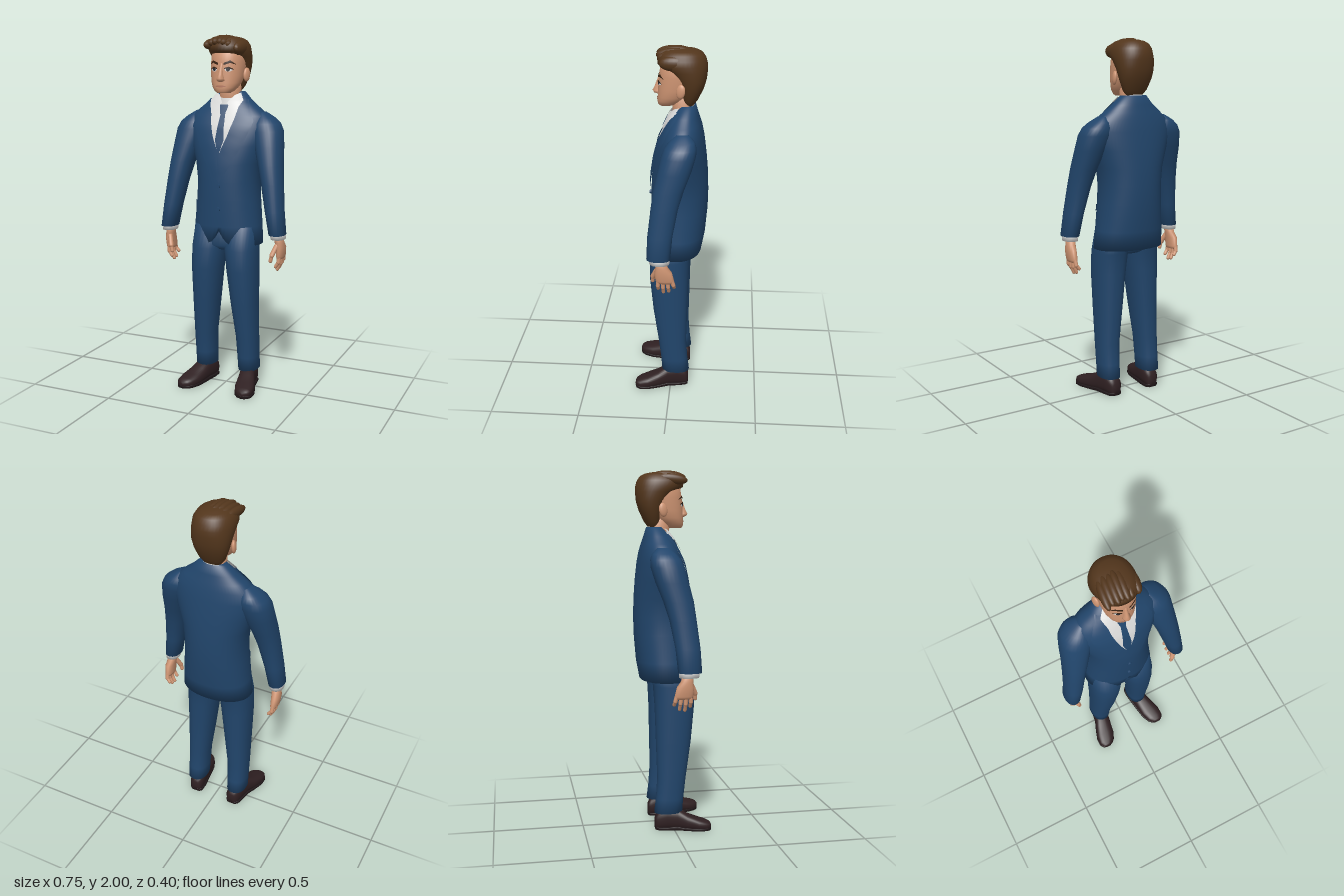
import * as THREE from 'three';

const mat = (name, color) => {
  const m = new THREE.MeshStandardMaterial({ color, side: THREE.DoubleSide });
  m.name = name;
  return m;
};

// Section ring row: [y, centreX, halfWidth, frontZ, backZ]
function rowAt(rows, y) {
  let i = 0;
  while (i < rows.length - 2 && y > rows[i + 1][0]) i++;
  const a = rows[i], b = rows[i + 1];
  const t = THREE.MathUtils.clamp((y - a[0]) / (b[0] - a[0]), 0, 1);
  return a.map((v, k) => v + (b[k] - v) * t);
}

// Smooth body through superellipse rings, listed from bottom to top
function loft(rows, { n = 32, e = 2.2, side = 1, open = false, warp } = {}) {
  const pos = [], idx = [];
  const pw = (v) => Math.sign(v) * Math.abs(v) ** (2 / e);
  for (const [y, cx, rx, zf, zb] of rows) {
    for (let j = 0; j < n; j++) {
      const a = (j / n) * Math.PI * 2;
      const p = new THREE.Vector3(side * cx + rx * pw(Math.cos(a)), y, (zf + zb) / 2 + ((zf - zb) / 2) * pw(Math.sin(a)));
      if (warp) warp(p);
      pos.push(p.x, p.y, p.z);
    }
  }
  for (let i = 0; i < rows.length - 1; i++) {
    for (let j = 0; j < n; j++) {
      const a = i * n + j, b = i * n + ((j + 1) % n);
      idx.push(a, a + n, b, b, a + n, b + n);
    }
  }
  if (!open) {
    [0, rows.length - 1].forEach((r, k) => {
      const [y, cx, , zf, zb] = rows[r], c = pos.length / 3;
      pos.push(side * cx, y, (zf + zb) / 2);
      for (let j = 0; j < n; j++) {
        const a = r * n + j, b = r * n + ((j + 1) % n);
        idx.push(...(k ? [c, b, a] : [c, a, b]));
      }
    });
  }
  return build(pos, idx);
}

function build(pos, idx) {
  const g = new THREE.BufferGeometry();
  g.setAttribute('position', new THREE.Float32BufferAttribute(pos, 3));
  g.setIndex(idx);
  g.computeVertexNormals();
  return g;
}

// Thin plate between two edge lines, laid on the front of a lofted body
function plate(rows, left, right, off, side = 1, e = 2.2) {
  const pos = [], idx = [], U = 16, V = 8;
  const along = (pts, u) => {
    const f = u * (pts.length - 1), i = Math.min(Math.floor(f), pts.length - 2), t = f - i;
    return [0, 1].map((k) => pts[i][k] + (pts[i + 1][k] - pts[i][k]) * t);
  };
  for (let i = 0; i <= U; i++) {
    const a = along(left, i / U), b = along(right, i / U);
    for (let j = 0; j <= V; j++) {
      const x = a[0] + ((b[0] - a[0]) * j) / V, y = a[1] + ((b[1] - a[1]) * j) / V;
      const [, , rx, zf, zb] = rowAt(rows, y), t = Math.min(Math.abs(x) / rx, 0.97);
      pos.push(side * x, y, (zf + zb) / 2 + ((zf - zb) / 2) * (1 - t ** e) ** (1 / e) + off);
      if (i < U && j < V) {
        const p = i * (V + 1) + j, q = p + V + 1;
        idx.push(...(side > 0 ? [p, q, p + 1, p + 1, q, q + 1] : [p, p + 1, q, p + 1, q + 1, q]));
      }
    }
  }
  return build(pos, idx);
}

// Edge lines of an oval, for eyes and irises
const oval = (x, y, rx, ry) => [-1, 1].map((s) => Array.from({ length: 9 }, (_, i) => {
  const a = (i / 8) * Math.PI;
  return [x + s * rx * Math.sin(a), y + ry * Math.cos(a)];
}));

const TORSO = [
  [0.845, 0, 0.205, 0.11, -0.165], [0.95, 0, 0.195, 0.115, -0.185], [1.1, 0, 0.181, 0.117, -0.198],
  [1.2, 0, 0.178, 0.115, -0.2], [1.3, 0, 0.19, 0.11, -0.197], [1.4, 0, 0.222, 0.095, -0.188],
  [1.5, 0, 0.245, 0.07, -0.175], [1.56, 0, 0.222, 0.042, -0.163], [1.6, 0, 0.175, 0.022, -0.152],
  [1.64, 0, 0.125, 0, -0.14], [1.69, 0, 0.077, -0.04, -0.126]];
const ARM = [
  [0.925, 0.33, 0.045, 0.117, -0.012], [1.05, 0.31, 0.051, 0.112, -0.022], [1.2, 0.286, 0.06, 0.095, -0.05],
  [1.3, 0.267, 0.068, 0.083, -0.08], [1.4, 0.245, 0.08, 0.06, -0.118], [1.48, 0.226, 0.089, 0.042, -0.14],
  [1.52, 0.215, 0.08, 0.025, -0.14], [1.55, 0.207, 0.053, 0, -0.13], [1.58, 0.19, 0.02, -0.035, -0.1]];
const LEG = [
  [0.1, 0.133, 0.057, 0.05, -0.108], [0.18, 0.132, 0.059, 0.056, -0.098], [0.3, 0.13, 0.062, 0.07, -0.09],
  [0.5, 0.118, 0.074, 0.1, -0.095], [0.7, 0.108, 0.087, 0.12, -0.1], [0.82, 0.1, 0.093, 0.12, -0.108], [0.95, 0.095, 0.09, 0.09, -0.14]];
const SHOE = [
  [-0.102, 0.125, 0.026, 0, -0.07], [-0.088, 0.126, 0.04, 0, -0.1], [-0.04, 0.131, 0.045, 0, -0.125],
  [0.015, 0.14, 0.046, 0, -0.122], [0.07, 0.155, 0.053, 0, -0.09], [0.13, 0.17, 0.058, 0, -0.068],
  [0.175, 0.18, 0.049, 0, -0.055], [0.197, 0.184, 0.032, -0.004, -0.045], [0.204, 0.185, 0.014, -0.01, -0.035]];
const HEAD = [
  [1.685, 0, 0.036, 0.068, 0], [1.695, 0, 0.052, 0.077, -0.03], [1.715, 0, 0.069, 0.079, -0.06], [1.74, 0, 0.081, 0.077, -0.09],
  [1.78, 0, 0.09, 0.075, -0.12], [1.85, 0, 0.095, 0.07, -0.15], [1.9, 0, 0.093, 0.062, -0.15], [1.95, 0, 0.07, 0.03, -0.12]];
const HAIR = [
  [1.685, 0, 0.045, -0.06, -0.112], [1.72, 0, 0.072, -0.05, -0.138], [1.78, 0, 0.094, -0.035, -0.167], [1.83, 0, 0.105, -0.015, -0.182],
  [1.88, 0, 0.111, 0.03, -0.187], [1.91, 0, 0.112, 0.078, -0.186], [1.94, 0, 0.108, 0.079, -0.178], [1.965, 0, 0.092, 0.062, -0.162],
  [1.98, 0, 0.068, 0.04, -0.135], [1.988, 0, 0.035, 0, -0.09]];

export function createModel() {
  const root = new THREE.Group();
  const suit = mat('suit blue', 0x21456b), skin = mat('skin', 0xcf9573), hair = mat('hair brown', 0x53361c);
  const shirt = mat('shirt white', 0xd9d9d8), leather = mat('shoe leather', 0x2f2022), sole = mat('sole dark', 0x1f1618);
  const brow = mat('brow brown', 0x3a2414), dark = mat('iris dark', 0x2a2a30), lip = mat('lip', 0xb0745c);
  const add = (name, geo, m, parent = root) => {
    const mesh = new THREE.Mesh(geo, m);
    mesh.name = name;
    parent.add(mesh);
    return mesh;
  };
  // Rounded rod between two points
  const rod = (name, a, b, r, m, parent) => {
    const p = new THREE.Vector3(...a), q = new THREE.Vector3(...b), d = q.clone().sub(p);
    const mesh = add(name, new THREE.CapsuleGeometry(r, d.length(), 5, 10), m, parent);
    mesh.position.copy(p).add(q).multiplyScalar(0.5);
    mesh.quaternion.setFromUnitVectors(new THREE.Vector3(0, 1, 0), d.normalize());
  };

  // Jacket, with the front hem cut away at the middle
  add('jacket', loft(TORSO, {
    n: 64,
    warp: (p) => {
      if (p.y < 0.9 && p.z > 0) p.y += 0.085 * Math.max(0, 1 - Math.abs(p.x) / 0.09) ** 2;
    },
  }), suit).geometry.computeVertexNormals();
  add('hips', loft([[0.81, 0, 0.1, 0.06, -0.08], [0.84, 0, 0.178, 0.1, -0.13], [0.98, 0, 0.17, 0.1, -0.15]]), suit);

  // Shirt front, tie and buttons
  const mirrorX = (pts) => pts.map(([x, y]) => [-x, y]);
  const band = (name, pts, off, m) => add(name, plate(TORSO, mirrorX(pts), pts, off), m);
  band('shirtFront', [[0.08, 1.66], [0.078, 1.6], [0.07, 1.54], [0.045, 1.45], [0.004, 1.36]], 0.004, shirt);
  band('tie', [[0.013, 1.58], [0.019, 1.5], [0.026, 1.43], [0.004, 1.36]], 0.009, suit);
  band('tieKnot', [[0.026, 1.622], [0.024, 1.605], [0.013, 1.57]], 0.016, suit);
  for (const y of [1.18, 1.05]) {
    const b = add('button', new THREE.CylinderGeometry(0.011, 0.011, 0.01, 16).rotateX(Math.PI / 2), suit);
    b.position.set(0.004, y, rowAt(TORSO, y)[3] + 0.005);
  }
  add('collarStand', loft([[1.59, 0, 0.08, 0.025, -0.118], [1.695, 0, 0.067, 0.008, -0.121]], {
    open: true, warp: (p) => { if (p.y > 1.65) p.y -= 0.04 * THREE.MathUtils.clamp((p.z + 0.12) / 0.13, 0, 1); },
  }), shirt);

  // Neck, head and nose
  add('neck', loft([[1.58, 0, 0.065, 0, -0.115], [1.66, 0, 0.059, -0.002, -0.115], [1.76, 0, 0.062, 0.01, -0.12]]), skin);
  add('head', loft(HEAD, { n: 40 }), skin);
  add('nose', loft([[1.746, 0, 0.012, 0.084, 0.05], [1.752, 0, 0.021, 0.098, 0.05], [1.764, 0, 0.021, 0.105, 0.05],
    [1.785, 0, 0.013, 0.094, 0.05], [1.83, 0, 0.01, 0.077, 0.05], [1.85, 0, 0.008, 0.069, 0.05]], { n: 16, e: 2 }), skin);
  add('mouth', plate(HEAD, ...oval(0, 1.722, 0.032, 0.005), 0.003), lip);

  // Hair cap with a swept quiff left of the parting
  add('hairCap', loft(HAIR, { n: 40 }), hair);
  for (let i = 0; i < 6; i++) {
    const x = -0.082 + i * 0.025;
    const lock = add('hairLock', new THREE.SphereGeometry(1, 16, 12), hair);
    lock.scale.set(0.024, 0.03, 0.085);
    lock.position.set(x, 1.967 - 4.2 * (x + 0.015) ** 2, 0.002 - (i % 2) * 0.008);
    lock.rotation.set(0.1, -0.12, 0.25);
  }
  const sideSweep = add('sideSweep', new THREE.SphereGeometry(1, 18, 12), hair);
  sideSweep.scale.set(0.032, 0.04, 0.08);
  sideSweep.position.set(0.078, 1.925, -0.015);

  for (const s of [1, -1]) {
    const label = s > 0 ? 'left' : 'right';
    const on = (name, rows, a, b, off, m) => add(label + name, plate(rows, a, b, off, s), m);

    // Face details
    on('EyeWhite', HEAD, ...oval(0.042, 1.812, 0.019, 0.0105), 0.003, shirt);
    on('Iris', HEAD, ...oval(0.04, 1.813, 0.01, 0.0105), 0.005, dark);
    on('EyeLid', HEAD, [[0.02, 1.82], [0.042, 1.828], [0.064, 1.818]], [[0.02, 1.814], [0.042, 1.821], [0.066, 1.81]], 0.006, brow);
    on('Brow', HEAD, [[0.017, 1.848], [0.05, 1.861], [0.073, 1.843]], [[0.018, 1.836], [0.05, 1.848], [0.074, 1.839]], 0.005, brow);
    const ear = add(label + 'Ear', new THREE.SphereGeometry(1, 16, 12), skin);
    ear.scale.set(0.013, 0.038, 0.025);
    ear.position.set(s * 0.1, 1.783, -0.05);
    ear.rotation.set(-0.15, s * -0.3, 0);

    // Collar wing, lapel and pocket flap
    on('CollarWing', TORSO, [[0.045, 1.672], [0.016, 1.632], [0.05, 1.575]], [[0.072, 1.685], [0.098, 1.645], [0.066, 1.565]], 0.018, shirt);
    on('Lapel', TORSO, [[0.085, 1.655], [0.08, 1.6], [0.07, 1.54], [0.042, 1.45], [0.004, 1.36], [0, 1.22]],
      [[0.115, 1.65], [0.15, 1.59], [0.178, 1.53], [0.135, 1.42], [0.08, 1.31], [0.008, 1.2]], 0.01, suit);
    on('PocketFlap', TORSO, [[0.085, 1.075], [0.085, 1.04]], [[0.165, 1.085], [0.167, 1.05]], 0.008, suit);

    // Sleeve, cuff and hand
    add(label + 'Sleeve', loft(ARM, { side: s, n: 28 }), suit);
    add(label + 'Cuff', loft([[0.9, 0.333, 0.039, 0.1, -0.007], [0.94, 0.33, 0.041, 0.108, -0.008]], { side: s }), shirt);
    const hand = new THREE.Group();
    hand.name = label + 'Hand';
    root.add(hand);
    add('palm', loft([[0.785, 0.337, 0.016, 0.062, -0.03], [0.8, 0.339, 0.021, 0.068, -0.034], [0.85, 0.341, 0.025, 0.072, -0.022],
      [0.88, 0.336, 0.025, 0.068, 0.002], [0.92, 0.332, 0.026, 0.072, 0.012]], { side: s, n: 20 }), skin, hand);
    [0.735, 0.714, 0.72, 0.745].forEach((tip, i) => {
      const z = 0.053 - i * 0.025, mid = [s * 0.338, (tip + 0.8) / 2, z - 0.003 * i + 0.002];
      rod('finger', [s * 0.34, 0.8, z], mid, 0.0115, skin, hand);
      rod('fingertip', mid, [s * 0.322, tip + 0.008, z - 0.004 * i + 0.002], 0.0098, skin, hand);
    });
    rod('thumb', [s * 0.328, 0.86, 0.06], [s * 0.31, 0.81, 0.084], 0.014, skin, hand);
    rod('thumbTip', [s * 0.31, 0.81, 0.084], [s * 0.303, 0.78, 0.086], 0.011, skin, hand);

    // Trouser leg and shoe
    add(label + 'TrouserLeg', loft(LEG, { side: s, e: 2.3 }), suit);
    add(label + 'Shoe', loft(SHOE, { side: s, e: 2.5 }).rotateX(Math.PI / 2), leather);
    const soleRows = SHOE.map(([z, cx, rx]) => [z, cx, rx * 1.04, 0, z > -0.03 && z < 0.05 ? -0.022 : -0.018]);
    add(label + 'Sole', loft(soleRows, { side: s, e: 6 }).rotateX(Math.PI / 2), sole);
  }
  return root;
}
